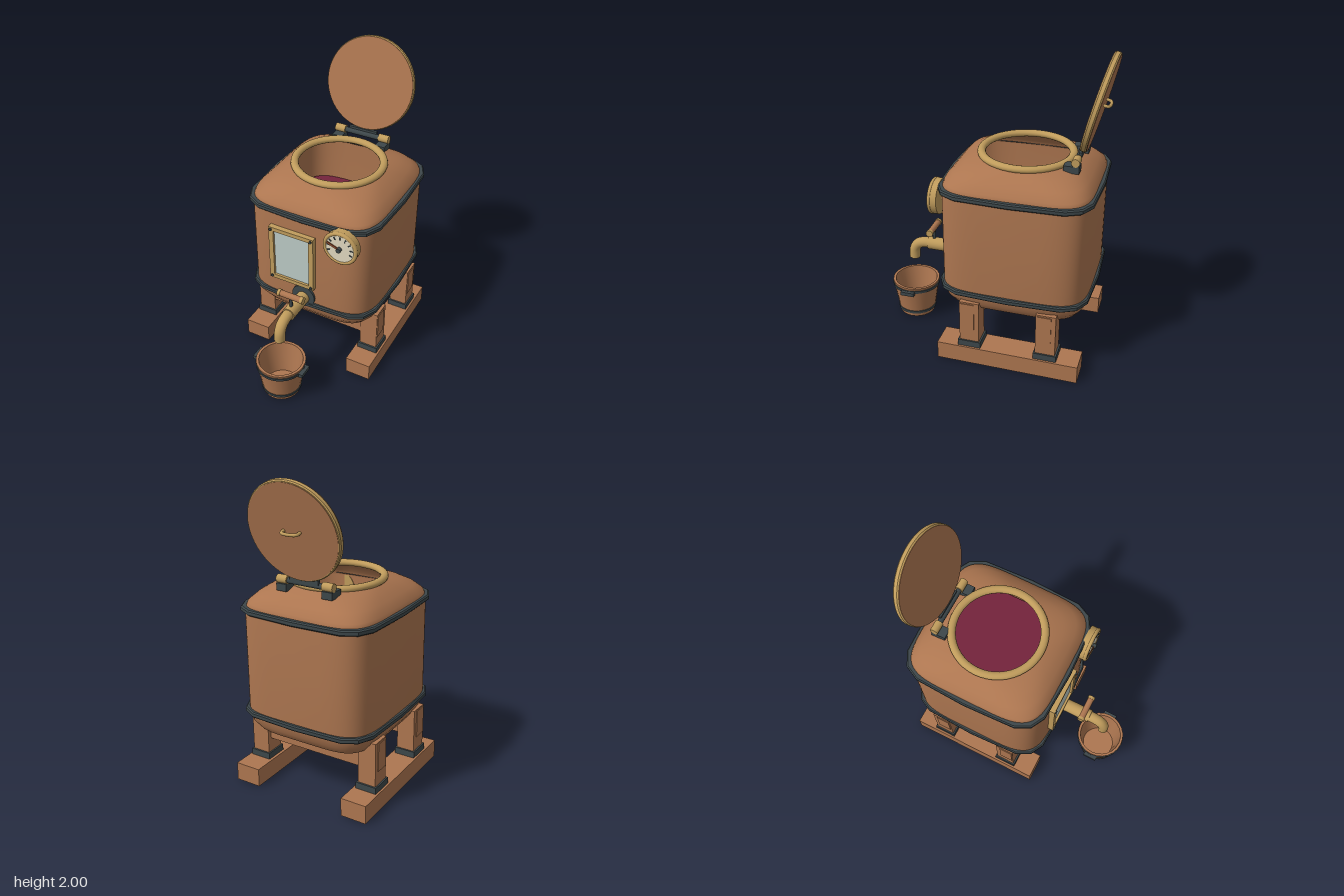
import * as THREE from 'three';
import { toCreasedNormals } from 'three/addons/utils/BufferGeometryUtils.js';

const mat = (name, color, side = THREE.FrontSide) => {
  const m = new THREE.MeshStandardMaterial({ color, side });
  m.name = name;
  return m;
};
const wood = mat('warm brown', 0xad7650, THREE.DoubleSide);
const brass = mat('brass', 0xc09c5c);
const iron = mat('dark iron', 0x3d474a);
const glass = mat('pale glass', 0xbccbc6);
const cream = mat('cream dial', 0xe0d8bf);
const wine = mat('wine red', 0x74233c);
const rust = mat('needle rust', 0x8c4a2c);

const CZ = -0.215; // tank centre in z

// Rounded-square sections [halfX, halfZ, exponent, y], joined from bottom to top
function loft(rows, seg) {
  const pos = [], idx = [];
  const pw = (v, n) => Math.sign(v) * Math.pow(Math.abs(v), 2 / n);
  rows.forEach(([a, b, n, y], i) => {
    for (let j = 0; j < seg; j++) {
      const t = (j / seg) * Math.PI * 2;
      const c = Math.abs(Math.cos(t)) < 1e-9 ? 0 : Math.cos(t);
      const s = Math.abs(Math.sin(t)) < 1e-9 ? 0 : Math.sin(t);
      pos.push(a * pw(c, n), y, b * pw(s, n));
      if (i === rows.length - 1) continue;
      const k = (j + 1) % seg, p = i * seg, q = p + seg;
      idx.push(p + j, q + j, p + k, p + k, q + j, q + k);
    }
  });
  const g = new THREE.BufferGeometry();
  g.setAttribute('position', new THREE.Float32BufferAttribute(pos, 3));
  g.setIndex(idx);
  g.computeVertexNormals();
  return g;
}

export function createModel() {
  const root = new THREE.Group();
  root.name = 'brewingTank';
  const add = (name, geo, m, x = 0, y = 0, z = 0, parent = root) => {
    const mesh = new THREE.Mesh(geo, m);
    mesh.name = name;
    mesh.position.set(x, y, z);
    parent.add(mesh);
    return mesh;
  };
  const box = (w, h, d) => new THREE.BoxGeometry(w, h, d);
  const cyl = (r, h, seg = 24, r2 = r) => new THREE.CylinderGeometry(r, r2, h, seg);
  const cylX = (r, h, seg) => cyl(r, h, seg).rotateZ(Math.PI / 2);
  const cylZ = (r, h, seg) => cyl(r, h, seg).rotateX(Math.PI / 2);

  // Tank shell, open at the round mouth
  add('tank', loft([
    [0.001, 0.001, 5, 0.34], [0.28, 0.3, 5, 0.34], [0.345, 0.37, 5, 0.355], [0.4, 0.425, 5, 0.39],
    [0.435, 0.46, 5, 0.44], [0.45, 0.475, 5, 0.51], [0.45, 0.475, 5, 0.84], [0.45, 0.475, 5, 1.175],
    [0.435, 0.46, 5, 1.215], [0.392, 0.42, 4.4, 1.26], [0.34, 0.365, 3.4, 1.298],
    [0.3, 0.315, 2.5, 1.32], [0.27, 0.27, 2, 1.335],
  ], 64), wood, 0, 0, CZ);
  add('mouthRim', new THREE.TorusGeometry(0.286, 0.026, 12, 48).rotateX(Math.PI / 2).scale(1, 0.85, 1), brass, 0, 1.337, CZ);
  add('liquid', loft([[0.44, 0.465, 5, 0], [0.001, 0.001, 5, 0.001]], 48), wine, 0, 0.88, CZ);

  // Iron hoops
  for (const y of [0.51, 1.175]) {
    const hoop = loft([[-0.012, -0.018], [0.015, -0.018], [0.022, -0.01], [0.022, 0.01], [0.015, 0.018], [-0.012, 0.018]]
      .map(([o, h]) => [0.45 + o, 0.475 + o, 5, h]), 16);
    add('hoop', toCreasedNormals(hoop, 0.6), iron, 0, y, CZ);
  }

  // Stand: runners, legs, iron shoes and cross beams
  for (const s of [-1, 1]) {
    add('runner', box(0.172, 0.12, 0.925), wood, s * 0.394, 0.06, -0.218);
    for (const z of [0.033, -0.465]) {
      add('leg', box(0.12, 0.31, 0.128), wood, s * 0.397, 0.295, z);
      add('legShoe', box(0.14, 0.042, 0.15), iron, s * 0.397, 0.141, z);
    }
  }
  for (const z of [0.045, -0.455]) add('crossBeam', box(0.925, 0.185, 0.09), wood, 0, 0.3475, z);

  // Hinge
  for (const s of [-1, 1]) {
    add('hingeBracket', box(0.07, 0.045, 0.095), iron, s * 0.158, 1.329, -0.528);
    add('hingeBarrel', cylX(0.026, 0.072, 20), brass, s * 0.158, 1.375, -0.552);
  }
  add('hingePin', cylX(0.018, 0.25, 16), iron, 0, 1.372, -0.552);
  add('hingeStrap', box(0.2, 0.035, 0.02), iron, 0, 1.388, -0.562);

  // Open lid, tilted back
  const lid = new THREE.Group();
  lid.name = 'lid';
  lid.position.set(0, 1.697, -0.65);
  lid.rotation.x = -0.25;
  root.add(lid);
  const rimProfile = [[0.29, -0.019], [0.302, -0.019], [0.308, -0.011], [0.308, 0.011], [0.302, 0.019], [0.29, 0.019]]
    .map(p => new THREE.Vector2(...p));
  add('lidRim', toCreasedNormals(new THREE.LatheGeometry(rimProfile, 56).rotateX(Math.PI / 2), 0.6), brass, 0, 0, 0, lid);
  add('lidFace', cylZ(0.302, 0.006, 56), wood, 0, 0, 0.0185, lid);
  add('lidBack', cylZ(0.297, 0.006, 56), wood, 0, 0, -0.0185, lid);
  const grip = new THREE.CatmullRomCurve3([[-0.055, -0.018], [-0.05, -0.05], [0, -0.06], [0.05, -0.05], [0.055, -0.018]]
    .map(([x, z]) => new THREE.Vector3(x, 0.008, z)));
  add('lidHandle', new THREE.TubeGeometry(grip, 24, 0.01, 10), brass, 0, 0, 0, lid);

  // Sight window with frame and screws
  const win = new THREE.Group();
  win.name = 'sightWindow';
  win.position.set(-0.074, 0.864, 0.255);
  root.add(win);
  add('glassPane', box(0.27, 0.37, 0.008), glass, 0, 0, 0.018, win);
  for (const s of [-1, 1]) {
    add('frameSide', box(0.033, 0.404, 0.038), brass, s * 0.143, 0, 0.019, win);
    add('frameRail', box(0.254, 0.028, 0.038), brass, 0, s * 0.188, 0.019, win);
    for (const t of [-1, 1]) add('frameScrew', cylZ(0.01, 0.01, 10), iron, s * 0.143, t * 0.185, 0.041, win);
  }

  // Gauge
  const gauge = new THREE.Group();
  gauge.name = 'gauge';
  gauge.position.set(0.28, 1.088, 0.26);
  root.add(gauge);
  add('gaugeBody', cylZ(0.113, 0.05, 40), brass, 0, 0, 0.02, gauge);
  add('gaugeBezel', new THREE.TorusGeometry(0.104, 0.013, 10, 40), brass, 0, 0, 0.043, gauge);
  add('gaugeDial', cylZ(0.097, 0.008, 40), cream, 0, 0, 0.047, gauge);
  for (let i = 0; i < 9; i++) {
    const a = Math.PI * (-0.11 + (1.22 * i) / 8);
    add('gaugeTick', box(0.02, 0.007, 0.004), iron, 0.078 * Math.cos(a), 0.078 * Math.sin(a), 0.053, gauge).rotation.z = a;
  }
  add('gaugeNeedle', box(0.09, 0.014, 0.006), rust, -0.04, 0.015, 0.06, gauge).rotation.z = -0.36;
  add('gaugeHub', cylZ(0.015, 0.024, 16), iron, 0, 0, 0.063, gauge);

  // Tap: flange, pipe, curved spout and lever
  add('tapFlange', cylZ(0.082, 0.022, 32), iron, 0, 0.57, 0.264);
  add('tapPipe', cylZ(0.044, 0.215, 24), brass, 0, 0.563, 0.36);
  const path = new THREE.CatmullRomCurve3([[0.563, 0.44], [0.562, 0.5], [0.545, 0.545], [0.505, 0.572], [0.436, 0.577]]
    .map(([y, z]) => new THREE.Vector3(0, y, z)));
  add('tapSpout', new THREE.TubeGeometry(path, 24, 0.036, 20), brass);
  add('spoutMouth', cyl(0.036, 0.006, 20), brass, 0, 0.44, 0.577);
  add('tapStem', cyl(0.011, 0.09, 12), iron, 0, 0.64, 0.428);
  add('tapLever', cylX(0.021, 0.15, 20), wood, 0, 0.686, 0.428);
  for (const s of [-1, 1]) add('leverCap', cylX(0.024, 0.02, 20), brass, s * 0.082, 0.686, 0.428);

  // Bucket under the tap
  const bucket = new THREE.Group();
  bucket.name = 'bucket';
  bucket.position.set(0, 0, 0.575);
  root.add(bucket);
  const wall = [[0, 0.012], [0.122, 0.012], [0.163, 0.265], [0.145, 0.265], [0.11, 0.04], [0, 0.04]]
    .map(p => new THREE.Vector2(...p));
  add('bucketWall', toCreasedNormals(new THREE.LatheGeometry(wall, 24), 0.6), wood, 0, 0, 0, bucket);
  for (const [y, r] of [[0.05, 0.133], [0.237, 0.164]])
    add('bucketHoop', new THREE.CylinderGeometry(r + 0.002, r - 0.001, 0.02, 24, 1, false), iron, 0, y, 0, bucket)
      .geometry = toCreasedNormals(new THREE.LatheGeometry(
        [[r - 0.012, -0.01], [r, -0.01], [r + 0.002, 0.01], [r - 0.012, 0.01]].map(p => new THREE.Vector2(...p)), 24), 0.6);
  for (const s of [-1, 1]) add('bucketEar', box(0.03, 0.026, 0.094), iron, s * 0.17, 0.231, 0, bucket);

  return root;
}
